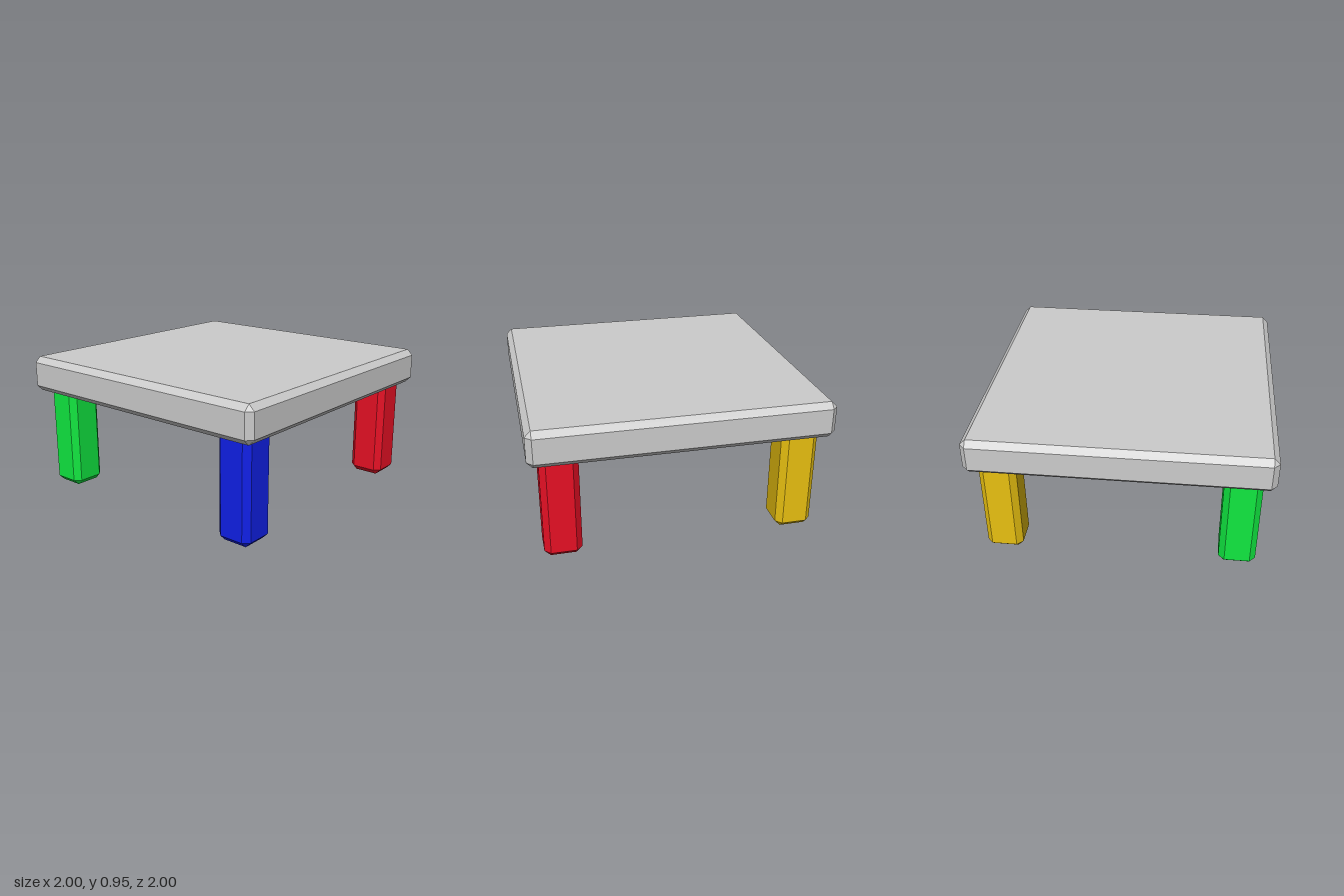
import * as THREE from 'three';
import { ConvexGeometry } from 'three/addons/geometries/ConvexGeometry.js';

const BEVEL = 0.04;

// Box with every edge cut at 45 degrees and a small triangle at each corner
function chamferedBox(w, h, d, c) {
  const points = [];
  for (const sx of [-1, 1]) for (const sy of [-1, 1]) for (const sz of [-1, 1]) {
    const x = w / 2, y = h / 2, z = d / 2;
    points.push(
      new THREE.Vector3(sx * x, sy * (y - c), sz * (z - c)),
      new THREE.Vector3(sx * (x - c), sy * y, sz * (z - c)),
      new THREE.Vector3(sx * (x - c), sy * (y - c), sz * z),
    );
  }
  return new ConvexGeometry(points);
}

function part(name, geometry, color, x, y, z) {
  const material = new THREE.MeshStandardMaterial({ color, flatShading: true });
  const mesh = new THREE.Mesh(geometry, material);
  mesh.name = name;
  mesh.position.set(x, y, z);
  return mesh;
}

export function createModel() {
  const table = new THREE.Group();
  table.name = 'table';

  // Square slab top
  table.add(part('tableTop', chamferedBox(2, 0.25, 2, BEVEL), 0xcccccc, 0, 0.823, 0));

  // Four coloured legs, set slightly into the slab
  const legHeight = 0.76;
  const leg = chamferedBox(0.25, legHeight, 0.25, BEVEL);
  const legs = [
    ['frontLeftLeg', 0xe81025, 0.803, 0.80],
    ['frontRightLeg', 0x1020e8, -0.80, 0.80],
    ['backLeftLeg', 0xe8c010, 0.803, -0.79],
    ['backRightLeg', 0x10e840, -0.80, -0.79],
  ];
  for (const [name, color, x, z] of legs) table.add(part(name, leg, color, x, legHeight / 2, z));

  return table;
}
